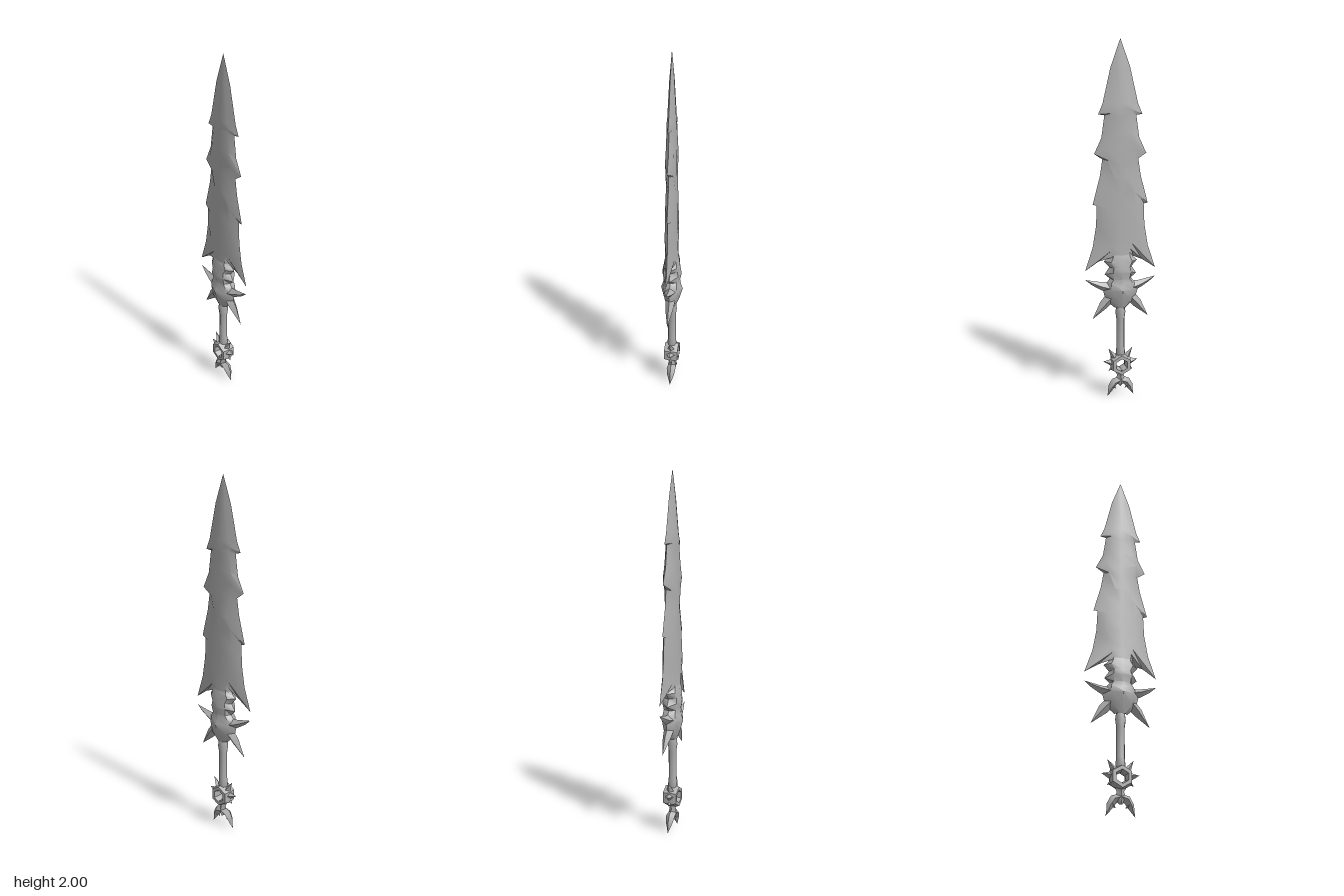
import * as THREE from 'three';
import { toCreasedNormals } from 'three/addons/utils/BufferGeometryUtils.js';

const steel = new THREE.MeshStandardMaterial({ color: 0xb0b0b0 });
steel.name = 'grey steel';

// Joins closed cross-section loops, all with the same number of points
function skin(loops, crease) {
  const n = loops[0].length, index = [];
  for (let i = 0; i < loops.length - 1; i++) {
    for (let j = 0; j < n; j++) {
      const a = i * n + j, b = i * n + (j + 1) % n;
      index.push(a, b, a + n, b, b + n, a + n);
    }
  }
  const g = new THREE.BufferGeometry();
  g.setAttribute('position', new THREE.Float32BufferAttribute(loops.flat(2), 3));
  g.setIndex(index);
  return toCreasedNormals(g, crease);
}

// Mirrored plate; row: spine y, spine z, mid x, mid y, mid z, edge x, edge y
function plate(rows) {
  return skin(rows.map(([ys, d, xm, ym, dm, xe, ye]) => [
    [xe, ye, 0], [xm, ym, dm], [0, ys, d], [-xm, ym, dm],
    [-xe, ye, 0], [-xm, ym, -dm], [0, ys, -d], [xm, ym, -dm],
  ]), 0.6);
}

// Diamond section swept along a flat path; point: x, y, half width, half depth
function horn(path) {
  return skin(path.map(([x, y, w, d], i) => {
    const p = path[Math.max(i - 1, 0)], q = path[Math.min(i + 1, path.length - 1)];
    const t = new THREE.Vector2(q[0] - p[0], q[1] - p[1]).normalize();
    const ux = -t.y * w, uy = t.x * w;
    return [[x + ux, y + uy, 0], [x, y, d], [x - ux, y - uy, 0], [x, y, -d]];
  }), 0.9);
}

export function createModel() {
  const model = new THREE.Group();
  model.name = 'sword';

  const add = (name, geometry) => {
    const mesh = new THREE.Mesh(geometry, steel);
    mesh.name = name;
    model.add(mesh);
    return mesh;
  };
  const addPair = (name, path) => {
    add(name + 'Left', horn(path));
    add(name + 'Right', horn(path.map(([x, ...rest]) => [-x, ...rest])));
  };

  // Barbed blade, from the tip down to the swept wings
  add('blade', plate([
    [2.00, 0, 0, 2.00, 0, 0, 2.00],
    [1.85, 0.012, 0.022, 1.85, 0.010, 0.054, 1.85],
    [1.66, 0.022, 0.05, 1.66, 0.016, 0.098, 1.66],
    [1.62, 0.024, 0.06, 1.63, 0.019, 0.122, 1.605],
    [1.59, 0.024, 0.055, 1.61, 0.018, 0.088, 1.60],
    [1.50, 0.025, 0.07, 1.50, 0.020, 0.105, 1.48],
    [1.40, 0.026, 0.09, 1.43, 0.021, 0.145, 1.395],
    [1.34, 0.027, 0.07, 1.36, 0.021, 0.10, 1.365],
    [1.26, 0.028, 0.04, 1.26, 0.026, 0.115, 1.27],
    [1.16, 0.029, 0.07, 1.19, 0.024, 0.155, 1.12],
    [1.10, 0.030, 0.08, 1.10, 0.024, 0.132, 1.125],
    [1.00, 0.031, 0.09, 0.99, 0.025, 0.137, 1.00],
    [0.92, 0.033, 0.075, 0.94, 0.026, 0.157, 0.88],
    [0.87, 0.035, 0.06, 0.90, 0.028, 0.20, 0.75],
    [0.84, 0.037, 0.05, 0.87, 0.030, 0.125, 0.80],
    [0.82, 0.038, 0.045, 0.83, 0.030, 0.07, 0.84],
  ]));

  // Notched neck running into the faceted guard
  add('guard', plate([
    [0.86, 0.030, 0.04, 0.86, 0.026, 0.06, 0.86],
    [0.82, 0.042, 0.05, 0.82, 0.034, 0.07, 0.82],
    [0.79, 0.047, 0.06, 0.80, 0.035, 0.095, 0.80],
    [0.765, 0.052, 0.045, 0.77, 0.040, 0.064, 0.765],
    [0.74, 0.056, 0.05, 0.74, 0.042, 0.09, 0.725],
    [0.70, 0.047, 0.045, 0.70, 0.035, 0.06, 0.70],
    [0.67, 0.052, 0.06, 0.68, 0.035, 0.08, 0.675],
    [0.64, 0.063, 0.06, 0.64, 0.040, 0.10, 0.635],
    [0.58, 0.045, 0.055, 0.58, 0.030, 0.085, 0.575],
    [0.53, 0.026, 0.02, 0.53, 0.020, 0.035, 0.53],
  ]));
  addPair('upperGuardHorn', [
    [0.05, 0.645, 0.035, 0.035], [0.11, 0.66, 0.022, 0.022],
    [0.16, 0.68, 0.012, 0.01], [0.20, 0.70, 0, 0],
  ]);
  addPair('lowerGuardHorn', [
    [0.05, 0.60, 0.03, 0.03], [0.095, 0.55, 0.027, 0.022], [0.16, 0.47, 0, 0],
  ]);

  // Octagonal grip, slightly thicker at both ends
  const grip = [[0.02, 0.23], [0.027, 0.26], [0.023, 0.30], [0.023, 0.46], [0.029, 0.50], [0.024, 0.54]];
  add('grip', toCreasedNormals(
    new THREE.LatheGeometry(grip.map(([r, y]) => new THREE.Vector2(r, y)), 8), 0.9));

  // Six-sided pommel ring with an open centre
  const ring = new THREE.TorusGeometry(0.047, 0.02, 6, 6);
  ring.rotateZ(Math.PI / 6);
  ring.scale(1, 1, 2.3);
  ring.translate(0, 0.195, 0);
  add('pommelRing', toCreasedNormals(ring, 0.6));
  addPair('upperPommelSpike', [[0.03, 0.225, 0.022, 0.025], [0.07, 0.288, 0, 0]]);
  addPair('sidePommelSpike', [[0.045, 0.203, 0.024, 0.028], [0.10, 0.213, 0, 0]]);
  addPair('lowerPommelSpike', [[0.035, 0.18, 0.02, 0.025], [0.07, 0.155, 0, 0]]);

  // Forked claw under the pommel
  add('clawStem', horn([[0, 0.165, 0.04, 0.035], [0, 0.125, 0.019, 0.017], [0, 0.085, 0.032, 0.026], [0, 0.06, 0.006, 0.012]]));
  addPair('claw', [
    [0, 0.098, 0.018, 0.022], [0.035, 0.085, 0.023, 0.026],
    [0.054, 0.055, 0.019, 0.02], [0.063, 0.03, 0.01, 0.011], [0.077, 0, 0, 0],
  ]);
  addPair('clawBarb', [[0.045, 0.06, 0.013, 0.016], [0.025, 0.042, 0, 0]]);

  return model;
}
